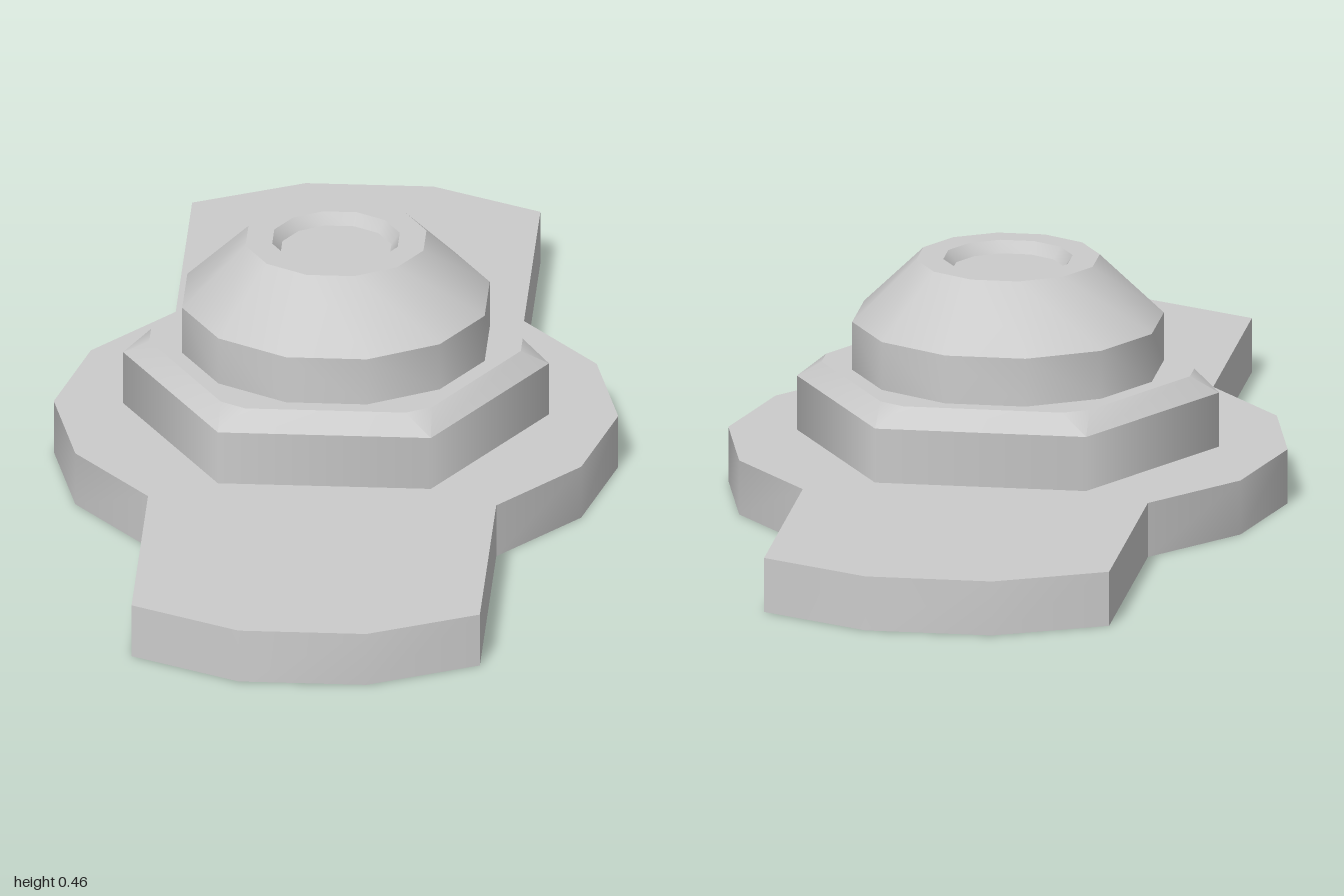
import * as THREE from 'three';
import { toCreasedNormals } from 'three/addons/utils/BufferGeometryUtils.js';

const CREASE = 0.6;
const PLATE_TOP = 0.105, NUT_SHOULDER = 0.21, NUT_TOP = 0.247;

// Triangles from a flat list of Vector3 corners
function fromCorners(corners) {
  return new THREE.BufferGeometry().setFromPoints(corners);
}

// Corners of a quad a-b-c-d, counter-clockwise from its front
const quad = (a, b, c, d) => [a, b, c, a, c, d];

// Point at an angle around the y axis
const polar = (r, angle, y) => new THREE.Vector3(r * Math.sin(angle), y, r * Math.cos(angle));

export function createModel() {
  const model = new THREE.Group();
  const grey = new THREE.MeshStandardMaterial({ color: 0xcccccc });
  const thin = new THREE.MeshStandardMaterial({ color: 0xcccccc, side: THREE.DoubleSide });

  const add = (parent, name, geometry, material = grey) => {
    const mesh = new THREE.Mesh(geometry, material);
    mesh.name = name;
    parent.add(mesh);
    return mesh;
  };

  // Plate: quarter outline mirrored into a full one, hollow underneath
  const quarter = [[0.53, 0], [0.475, 0.23], [0.327, 0.412], [0.327, 0.9], [0.12, 1]];
  const half = [...quarter, ...quarter.slice(1).reverse().map(([x, z]) => [-x, z])];
  const outline = [...half, ...half.map(([x, z]) => [-x, -z])]
    .map(([x, y]) => new THREE.Vector2(x, y));

  const plate = new THREE.Group();
  plate.name = 'basePlate';
  model.add(plate);
  const top = new THREE.ShapeGeometry(new THREE.Shape(outline));
  top.rotateX(-Math.PI / 2).translate(0, PLATE_TOP, 0);
  add(plate, 'plateTop', top, thin);

  const wall = outline.flatMap((p, i) => {
    const q = outline[(i + 1) % outline.length];
    const at = (v, y) => new THREE.Vector3(v.x, y, -v.y);
    return quad(at(p, 0), at(q, 0), at(q, PLATE_TOP), at(p, PLATE_TOP));
  });
  add(plate, 'plateRim', toCreasedNormals(fromCorners(wall), CREASE), thin);

  // Hex nut: six sides, with its upper corners cut by the chamfer
  const nut = new THREE.Group();
  nut.name = 'hexNut';
  model.add(nut);
  const sides = new THREE.CylinderGeometry(0.4, 0.4, NUT_SHOULDER - PLATE_TOP, 6, 1, true, Math.PI / 2);
  sides.translate(0, (NUT_SHOULDER + PLATE_TOP) / 2, 0);
  add(nut, 'nutSides', sides);

  const chamfer = [], cap = [];
  const cut = THREE.MathUtils.degToRad(4.5), centre = new THREE.Vector3(0, NUT_TOP, 0);
  for (let i = 0; i < 6; i++) {
    const a = Math.PI / 2 + i * Math.PI / 3, b = a + Math.PI / 3;
    const low = polar(0.4, a, NUT_SHOULDER), nextLow = polar(0.4, b, NUT_SHOULDER);
    const before = polar(0.35, a - cut, NUT_TOP), after = polar(0.35, a + cut, NUT_TOP);
    const next = polar(0.35, b - cut, NUT_TOP);
    chamfer.push(low, after, before, ...quad(low, nextLow, next, after));
    cap.push(centre, before, after, centre, after, next);
  }
  const bevel = fromCorners([...chamfer, ...cap]);
  add(nut, 'nutChamfer', toCreasedNormals(bevel, CREASE));

  // Twelve-sided collar, tapering to a rim with a shallow recess
  const profile = [
    [0.294, NUT_TOP], [0.294, 0.34], [0.173, 0.457], [0.122, 0.457], [0.106, 0.435], [0, 0.435],
  ].map(([r, y]) => new THREE.Vector2(r, y));
  const collar = new THREE.LatheGeometry(profile, 12, Math.PI / 12);
  add(model, 'collar', toCreasedNormals(collar, CREASE));

  return model;
}
